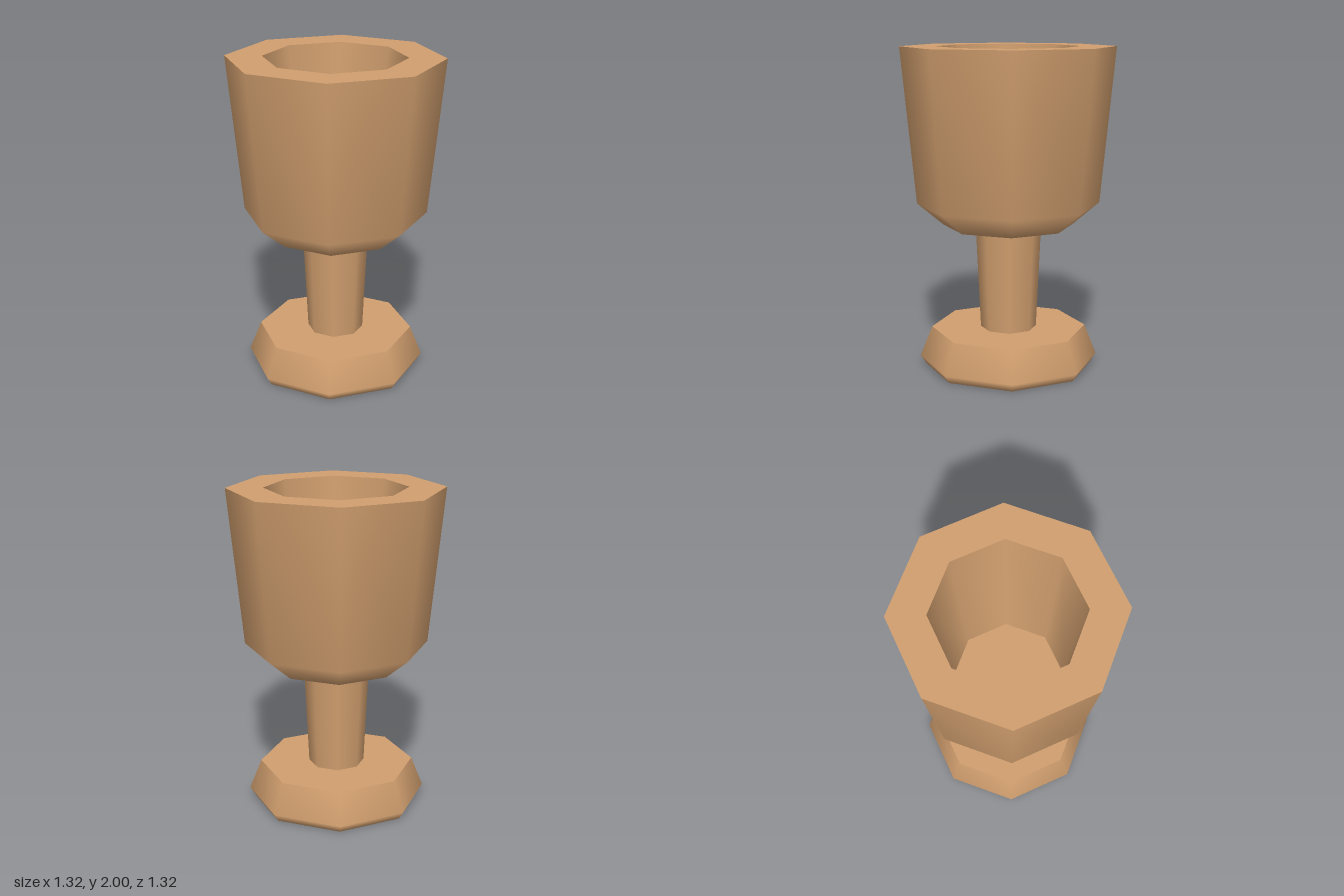
import * as THREE from 'three';

const SIDES = 8;

export function createModel() {
  const group = new THREE.Group();
  group.name = 'goblet';
  const wood = new THREE.MeshStandardMaterial({ color: 0xd09e6e });
  wood.name = 'wood';

  // Turn a profile of [radius, height] points into an eight-sided part.
  // Shading is smooth within one profile and sharp between profiles.
  const turn = (name, profile) => {
    const points = profile.map(([r, y]) => new THREE.Vector2(r, y));
    const mesh = new THREE.Mesh(new THREE.LatheGeometry(points, SIDES), wood);
    mesh.name = name;
    group.add(mesh);
  };

  // Foot: bevelled underside and flat top around the stem
  turn('foot', [[0, 0], [0.53, 0], [0.56, 0.05], [0.485, 0.24]]);
  turn('footTop', [[0.485, 0.24], [0.175, 0.24]]);

  // Stem, widening slightly upwards
  turn('stem', [[0.175, 0.24], [0.205, 0.9]]);

  // Bowl: underside, bevel and flared wall in one smooth sweep
  turn('bowlOuter', [[0.205, 0.9], [0.405, 0.9], [0.568, 1.035], [0.66, 2]]);
  turn('bowlRim', [[0.66, 2], [0.435, 2]]);
  turn('bowlInner', [[0.435, 2], [0.34, 1.035]]);
  turn('bowlFloor', [[0.34, 1.035], [0, 1.035]]);

  return group;
}
